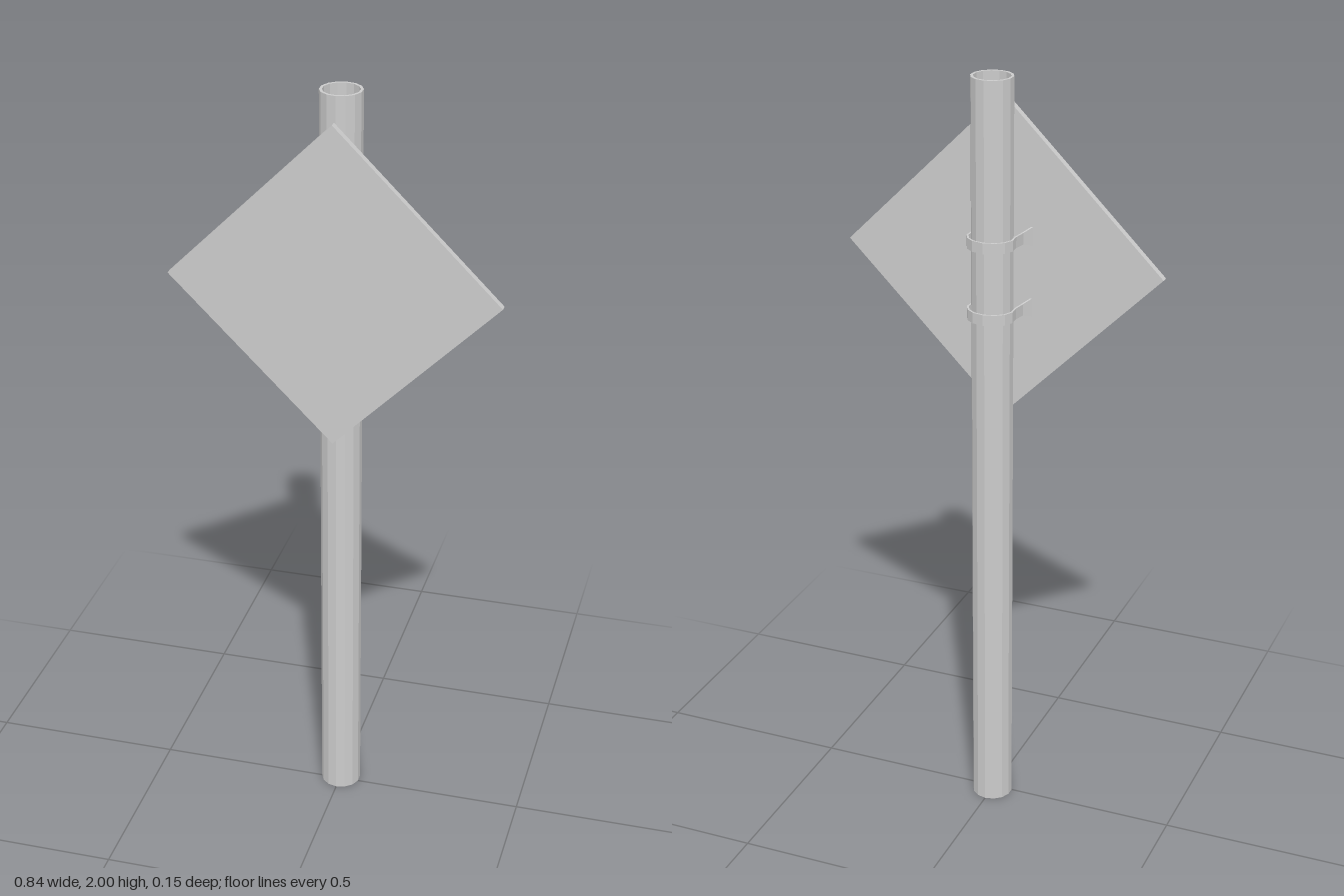
import * as THREE from 'three';

const material = new THREE.MeshStandardMaterial({ color: 0xcccccc, flatShading: true });

function addMesh(parent, name, geometry) {
  const mesh = new THREE.Mesh(geometry, material);
  mesh.name = name;
  parent.add(mesh);
  return mesh;
}

// Flat strap swept along a plan path; each station is [x, z, half height]
function strapGeometry(stations, thickness) {
  const rings = stations.map(([x, z, h], i) => {
    const a = stations[Math.max(i - 1, 0)];
    const b = stations[Math.min(i + 1, stations.length - 1)];
    const t = new THREE.Vector2(b[0] - a[0], b[1] - a[1]).normalize();
    const ix = x + t.y * thickness, iz = z - t.x * thickness;
    return [[ix, -h, iz], [x, -h, z], [x, h, z], [ix, h, iz]];
  });
  const positions = [];
  const quad = (a, b, c, d) => positions.push(...a, ...b, ...c, ...a, ...c, ...d);
  for (let i = 0; i < rings.length - 1; i++) {
    for (let k = 0; k < 4; k++) {
      const n = (k + 1) % 4;
      quad(rings[i][k], rings[i + 1][k], rings[i + 1][n], rings[i][n]);
    }
  }
  quad(...rings[0]);
  quad(...rings[rings.length - 1].slice().reverse());
  const geometry = new THREE.BufferGeometry();
  geometry.setAttribute('position', new THREE.Float32BufferAttribute(positions, 3));
  geometry.computeVertexNormals();
  return geometry;
}

export function createModel() {
  const model = new THREE.Group();
  model.name = 'signPost';

  // Hollow pole, open at both ends
  const outer = 0.053, inner = 0.046;
  const wall = [[inner, 0], [outer, 0], [outer, 2], [inner, 2], [inner, 0]]
    .map(([x, y]) => new THREE.Vector2(x, y));
  const pole = addMesh(model, 'pole', new THREE.LatheGeometry(wall, 14));
  pole.position.z = -0.012;

  // Square plate standing on its corner
  const side = 0.42 * Math.SQRT2;
  const plate = addMesh(model, 'signPlate', new THREE.BoxGeometry(side, side, 0.019));
  plate.position.set(0, 1.52, 0.064);
  plate.rotation.z = Math.PI / 4;

  // Clamps: half of the strap, mirrored, flaring where it meets the plate
  const half = [
    [0.081, 0.055, 0.025], [0.065, 0.031, 0.015], [0.059, -0.002, 0.014],
    [0.061, -0.029, 0.014], [0.05, -0.052, 0.014], [0.03, -0.068, 0.014],
  ];
  const mirrored = half.slice().reverse().map(([x, z, h]) => [-x, z, h]);
  const strap = strapGeometry([...half, [0, -0.075, 0.014], ...mirrored], 0.005);
  for (const [name, y] of [['upperClamp', 1.588], ['lowerClamp', 1.402]]) {
    addMesh(model, name, strap).position.y = y;
  }

  return model;
}
